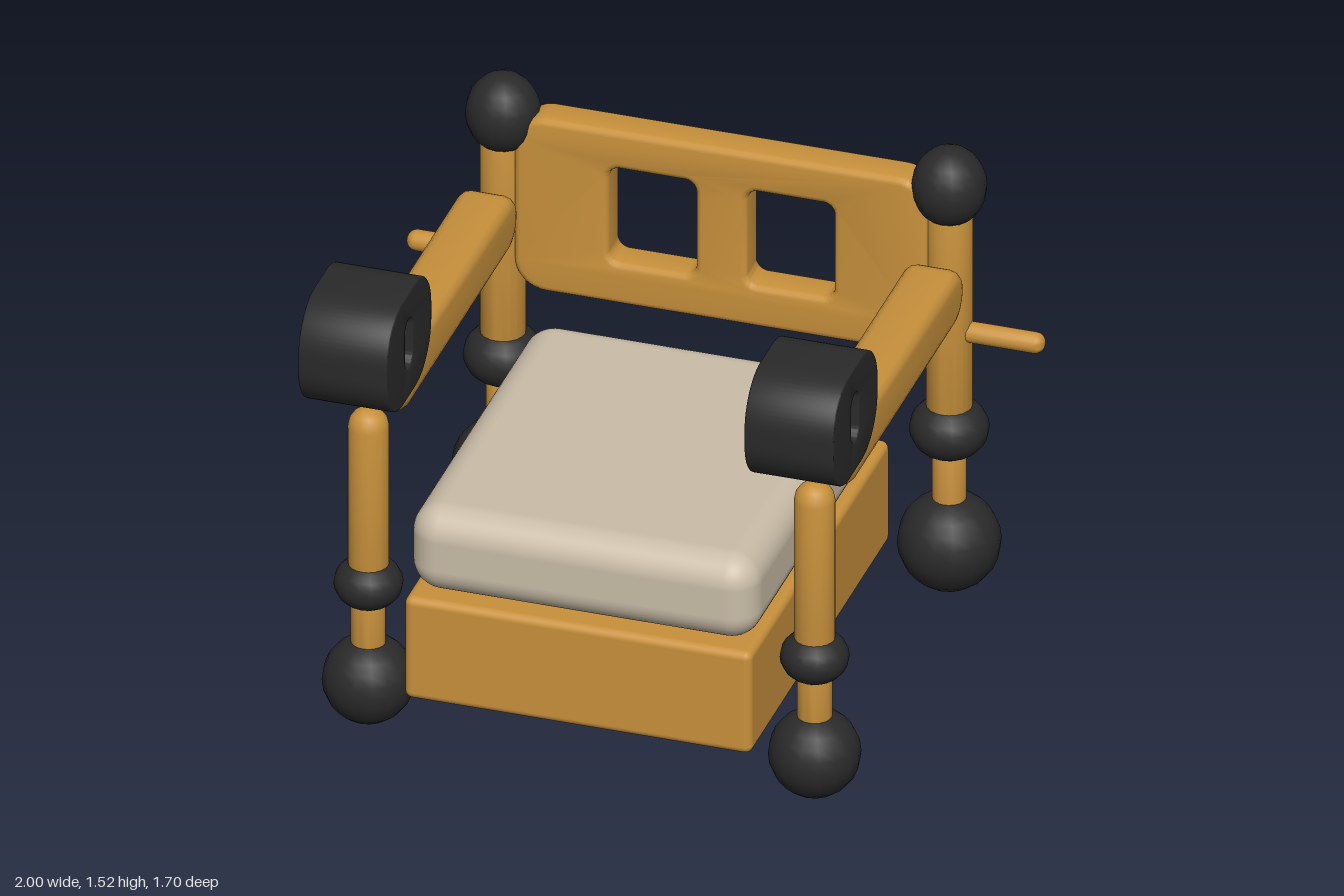
import * as THREE from 'three';
import { RoundedBoxGeometry } from 'three/addons/geometries/RoundedBoxGeometry.js';
import { toCreasedNormals } from 'three/addons/utils/BufferGeometryUtils.js';

const wood = new THREE.MeshStandardMaterial({ color: 0xc8913c });
wood.name = 'wood';
const black = new THREE.MeshStandardMaterial({ color: 0x2a2a2a });
black.name = 'black';
const fabric = new THREE.MeshStandardMaterial({ color: 0xcabda8 });
fabric.name = 'fabric';

function add(parent, name, geometry, material, x = 0, y = 0, z = 0) {
  const mesh = new THREE.Mesh(geometry, material);
  mesh.name = name;
  mesh.position.set(x, y, z);
  parent.add(mesh);
  return mesh;
}

// Rounded rectangle outline, usable as a shape or a hole
function roundRect(Type, x0, y0, x1, y1, r) {
  const p = new Type();
  p.absarc(x1 - r, y0 + r, r, -Math.PI / 2, 0);
  p.absarc(x1 - r, y1 - r, r, 0, Math.PI / 2);
  p.absarc(x0 + r, y1 - r, r, Math.PI / 2, Math.PI);
  p.absarc(x0 + r, y0 + r, r, Math.PI, Math.PI * 1.5);
  p.closePath();
  return p;
}

// Extrusion centred on its depth, bevelled inside its outline
function slab(shape, depth, bevel) {
  const g = new THREE.ExtrudeGeometry(shape, {
    depth: depth - 2 * bevel, bevelEnabled: true, bevelThickness: bevel,
    bevelSize: bevel, bevelOffset: -bevel, bevelSegments: 3, curveSegments: 8,
  });
  g.translate(0, 0, -depth / 2 + bevel);
  return toCreasedNormals(g, 0.6);
}

// Profile drawn in (z, y), extruded along x
const sideSlab = (shape, width, bevel) => slab(shape, width, bevel).rotateY(-Math.PI / 2);

// Upright post with softened ends
function post(r, y0, y1, round) {
  const pts = [new THREE.Vector2(0, y0)];
  for (let i = 0; i <= 4; i++) {
    const a = (i / 4) * Math.PI / 2;
    pts.push(new THREE.Vector2(r - round + round * Math.sin(a), y0 + round - round * Math.cos(a)));
  }
  for (let i = 0; i <= 4; i++) {
    const a = (i / 4) * Math.PI / 2;
    pts.push(new THREE.Vector2(r - round + round * Math.cos(a), y1 - round + round * Math.sin(a)));
  }
  pts[pts.length - 1].x = Math.max(pts[pts.length - 1].x, 0);
  pts.push(new THREE.Vector2(0, y1));
  return toCreasedNormals(new THREE.LatheGeometry(pts, 20), 0.6);
}

const ball = (r, h = r) => new THREE.SphereGeometry(1, 16, 12).scale(r, h, r);

function armShape() {
  const s = new THREE.Shape();
  s.moveTo(-0.5, 1.015);
  s.lineTo(0.46, 1.015);
  s.quadraticCurveTo(0.53, 1.02, 0.555, 1.085);
  s.lineTo(0.61, 1.22);
  s.quadraticCurveTo(0.66, 1.34, 0.61, 1.41);
  s.quadraticCurveTo(0.56, 1.46, 0.48, 1.455);
  s.quadraticCurveTo(0.43, 1.45, 0.405, 1.41);
  s.lineTo(0.325, 1.265);
  s.quadraticCurveTo(0.285, 1.195, 0.21, 1.195);
  s.lineTo(-0.5, 1.195);
  s.absarc(-0.5, 1.105, 0.09, Math.PI / 2, Math.PI * 1.5);
  return s;
}

export function createModel() {
  const model = new THREE.Group();
  model.name = 'chair';

  // Seat
  add(model, 'seatBase', new RoundedBoxGeometry(1.09, 0.35, 1.34, 3, 0.025), wood, 0, 0.355, 0.07);
  add(model, 'seatCushion', new RoundedBoxGeometry(1.09, 0.285, 1.235, 6, 0.095), fabric, 0, 0.675, 0.105);

  // Backrest with two windows
  const back = roundRect(THREE.Shape, -0.65, 0.815, 0.65, 1.41, 0.1);
  for (const s of [-1, 1]) {
    back.holes.push(roundRect(THREE.Path, s * 0.217 - 0.137, 0.955, s * 0.217 + 0.137, 1.28, 0.035));
  }
  add(model, 'backrest', slab(back, 0.12, 0.02), wood, 0, 0, -0.695);

  // Grip profile with a slot
  const grip = roundRect(THREE.Shape, 0.42, 1.165, 0.85, 1.525, 0.155);
  grip.holes.push(roundRect(THREE.Path, 0.6, 1.268, 0.674, 1.432, 0.036));

  for (const side of [-1, 1]) {
    const half = new THREE.Group();
    half.name = side > 0 ? 'leftSide' : 'rightSide';
    model.add(half);
    const x = side * 0.7;

    // Front leg
    add(half, 'frontFoot', ball(0.14), black, x, 0.147, 0.6);
    add(half, 'frontLowerLeg', post(0.053, 0.15, 0.48, 0.01), wood, x, 0, 0.6);
    add(half, 'frontKnob', ball(0.105, 0.083), black, x, 0.48, 0.6);
    add(half, 'frontPost', post(0.062, 0.46, 1.08, 0.06), wood, x, 0, 0.6);

    // Back leg
    add(half, 'backFoot', ball(0.157), black, x, 0.16, -0.69);
    add(half, 'backLowerLeg', post(0.051, 0.16, 0.55, 0.01), wood, x, 0, -0.69);
    add(half, 'backKnob', ball(0.121, 0.098), black, x, 0.55, -0.69);
    add(half, 'backPost', post(0.07, 0.55, 1.3, 0.02), wood, x, 0, -0.69);
    add(half, 'topBall', ball(0.114, 0.128), black, x, 1.385, -0.69);

    // Side peg
    const peg = add(half, 'sidePeg', post(0.033, 0, 0.35, 0.03), wood, side * 0.65, 0.89, -0.69);
    peg.rotation.z = -side * Math.PI / 2;

    // Armrest and grip
    add(half, 'armrest', sideSlab(armShape(), 0.17, 0.035), wood, x, 0, 0);
    add(half, 'grip', sideSlab(grip, 0.28, 0.006), black, x, 0, 0);
  }
  return model;
}
